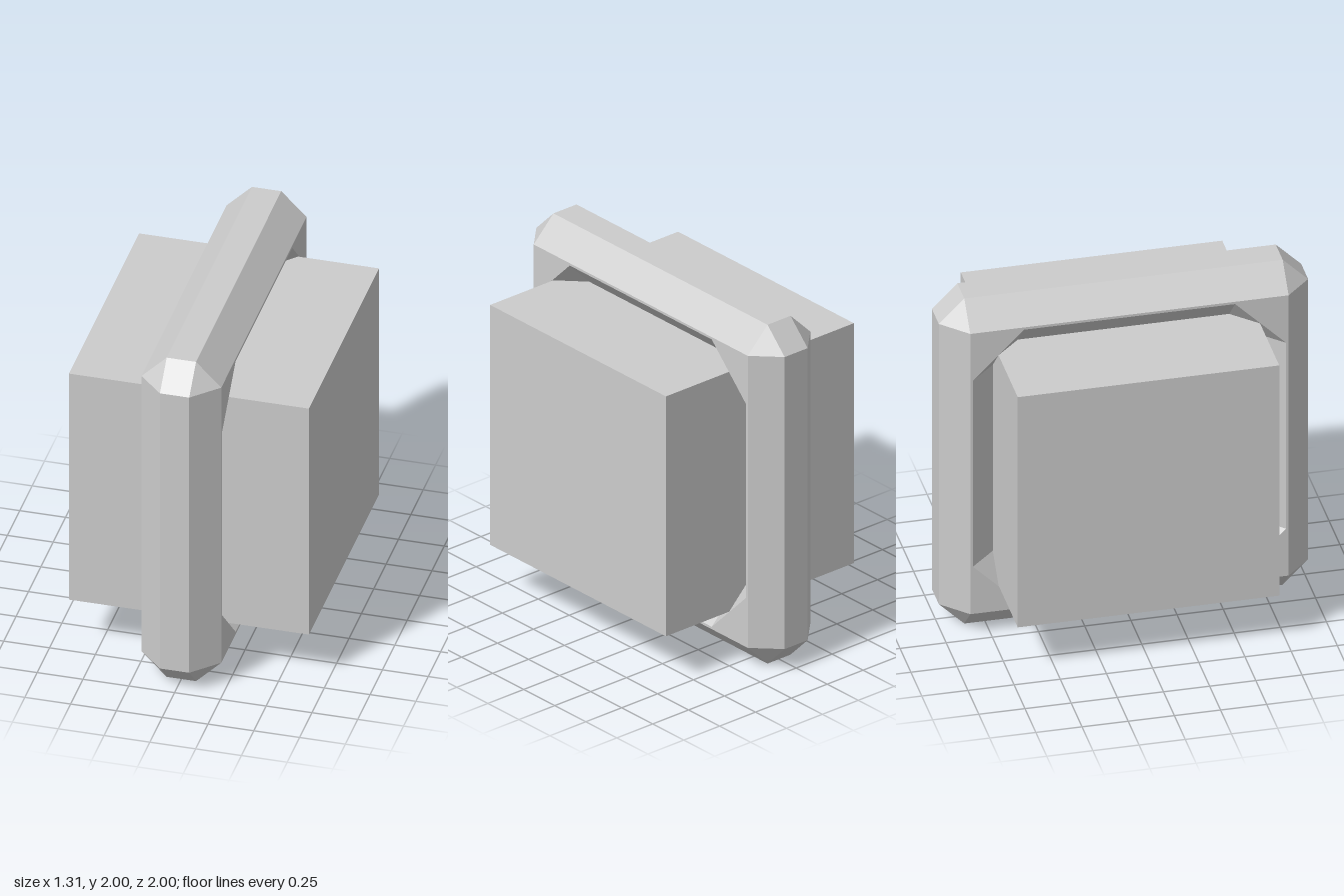
import * as THREE from 'three';

const material = new THREE.MeshStandardMaterial({ color: 0xcccccc, flatShading: true });

// Eight-sided loop in the zy plane at a given x; a === b gives a square
function octagonLoop(x, a, b) {
  return [[a, b], [b, a], [-b, a], [-a, b], [-a, -b], [-b, -a], [b, -a], [a, -b]]
    .map(([z, y]) => new THREE.Vector3(x, y, z));
}

// Joins the loops one after another, and the last back to the first
function loftClosed(loops) {
  const points = [];
  const n = loops[0].length;
  loops.forEach((loop, i) => {
    const next = loops[(i + 1) % loops.length];
    for (let j = 0; j < n; j++) {
      const k = (j + 1) % n;
      for (const tri of [[loop[j], next[j], next[k]], [loop[j], next[k], loop[k]]]) {
        if (new THREE.Triangle(...tri).getArea() > 1e-6) points.push(...tri);
      }
    }
  });
  const geometry = new THREE.BufferGeometry().setFromPoints(points);
  geometry.computeVertexNormals();
  return geometry;
}

export function createModel() {
  const model = new THREE.Group();
  model.name = 'framedBlock';

  // Solid block passing through the frame
  const block = new THREE.Mesh(new THREE.BoxGeometry(1.31, 1.416, 1.416), material);
  block.name = 'centreBlock';
  block.position.y = 1;
  model.add(block);

  // Bevelled frame: outer rim, side faces, then the sloped octagonal opening
  const rim = 0.08, side = 0.218;
  const frame = new THREE.Mesh(loftClosed([
    octagonLoop(-rim, 1, 0.862),
    octagonLoop(rim, 1, 0.862),
    octagonLoop(side, 0.862, 0.862),
    octagonLoop(side, 0.848, 0.572),
    octagonLoop(rim, 0.706, 0.572),
    octagonLoop(-rim, 0.706, 0.572),
    octagonLoop(-side, 0.848, 0.572),
    octagonLoop(-side, 0.862, 0.862),
  ]), material);
  frame.name = 'bevelledFrame';
  frame.position.y = 1;
  model.add(frame);

  return model;
}
